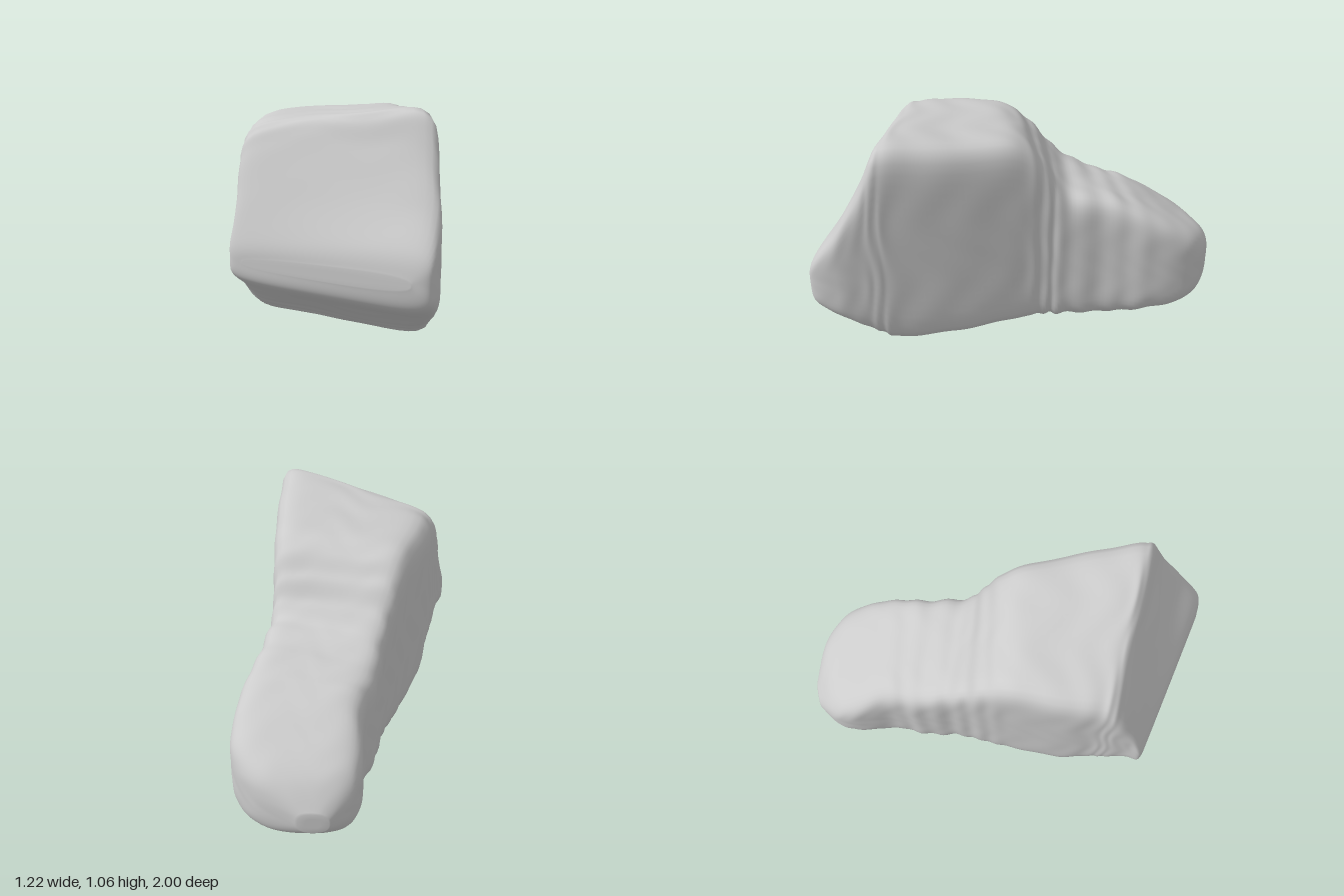
import * as THREE from 'three';

// Skewed slices from the front ridge to the rounded tail:
// right x, z | left x, z | bottom y right, left | top y right, left
const SLICES = [
  [-0.57, 0.46, -0.02, 0.97, 0.39, 0.38, 0.44, 0.46],
  [-0.61, 0.41, 0.06, 1.00, 0.33, 0.29, 0.51, 0.56],
  [-0.57, 0.36, 0.14, 0.91, 0.27, 0.21, 0.70, 0.72],
  [-0.535, 0.29, 0.18, 0.80, 0.21, 0.13, 0.88, 0.92],
  [-0.51, 0.25, 0.20, 0.74, 0.17, 0.09, 0.95, 1.06],
  [-0.48, 0.20, 0.22, 0.66, 0.13, 0.05, 0.97, 1.08],
  [-0.42, 0.07, 0.275, 0.40, 0.06, 0.03, 0.98, 1.04],
  [-0.29, -0.13, 0.32, 0.10, 0.03, 0.03, 0.97, 1.00],
  [-0.21, -0.25, 0.34, -0.03, 0.03, 0.03, 0.88, 0.86],
  [-0.13, -0.37, 0.37, -0.12, 0.03, 0.02, 0.73, 0.72],
  [-0.06, -0.53, 0.45, -0.32, 0.01, 0.01, 0.62, 0.68],
  [0.02, -0.66, 0.55, -0.49, 0.00, 0.03, 0.58, 0.60],
  [0.06, -0.84, 0.607, -0.69, 0.05, 0.05, 0.46, 0.49],
  [0.12, -0.94, 0.53, -0.86, 0.08, 0.08, 0.37, 0.40],
  [0.23, -1.00, 0.36, -0.98, 0.16, 0.16, 0.26, 0.27],
];
const END = SLICES.length - 1, STEPS = 10, SIDES = 96;

// Catmull-Rom blend of the slices at position t
function sliceAt(t) {
  const i = Math.min(Math.floor(t), END - 1), f = t - i;
  const p = (k) => SLICES[Math.max(0, Math.min(END, k))];
  return SLICES[0].map((_, c) => {
    const a = p(i - 1)[c], b = p(i)[c], d = p(i + 1)[c], e = p(i + 2)[c];
    return b + 0.5 * f * (d - a + f * (2 * a - 5 * b + 4 * d - e + f * (3 * (b - d) + e - a)));
  });
}

// Rounded-square ring point on a slice; scale shrinks it for the caps
function ringPoint(slice, angle, scale, t) {
  const [rx, rz, lx, lz, br, bl, tr, tl] = slice;
  const c = Math.cos(angle), d = Math.sin(angle);
  // squarest in the body, rounder at the tail
  const n = 2.5 + 6.5 * Math.sin(Math.PI * (t / END) ** 0.75);
  const r = (Math.abs(c) ** n + Math.abs(d) ** n) ** (-1 / n);
  // folds run round the middle; a faint waviness covers the rest
  const fold = Math.exp(-(((t - 9.3) / 1.7) ** 2));
  const ripple = 1 + 0.014 * fold * Math.sin(t * Math.PI * 3)
    + 0.004 * Math.sin(t * 7 + 2 * Math.sin(angle * 6)) * Math.min(1, t / 4);
  const u = 0.5 + 0.5 * c * r * scale * ripple;
  const v = 0.5 + 0.5 * d * r * scale * ripple;
  const low = br + (bl - br) * u, high = tr + (tl - tr) * u;
  return [rx + (lx - rx) * u, low + (high - low) * v, rz + (lz - rz) * u];
}

function rockGeometry() {
  // rings as [position, scale], closed at both ends by shrinking caps
  const rings = [[0, 0], [0, 0.5]];
  for (let i = 0; i <= END * STEPS; i++) rings.push([i / STEPS, 1]);
  rings.push([END, 0.5], [END, 0]);

  const positions = [], index = [];
  rings.forEach(([t, scale], i) => {
    const slice = sliceAt(t);
    for (let j = 0; j < SIDES; j++) {
      positions.push(...ringPoint(slice, (j / SIDES) * Math.PI * 2, scale, t));
      if (i === rings.length - 1) continue;
      const a = i * SIDES + j, b = i * SIDES + (j + 1) % SIDES;
      index.push(a, a + SIDES, b, b, a + SIDES, b + SIDES);
    }
  });
  const geometry = new THREE.BufferGeometry();
  geometry.setAttribute('position', new THREE.Float32BufferAttribute(positions, 3));
  geometry.setIndex(index);
  geometry.computeVertexNormals();
  return geometry;
}

export function createModel() {
  const group = new THREE.Group();
  group.name = 'boulder';
  const rock = new THREE.Mesh(rockGeometry(), new THREE.MeshStandardMaterial({ color: 0xcccccc }));
  rock.name = 'rockBody';
  group.add(rock);
  return group;
}
